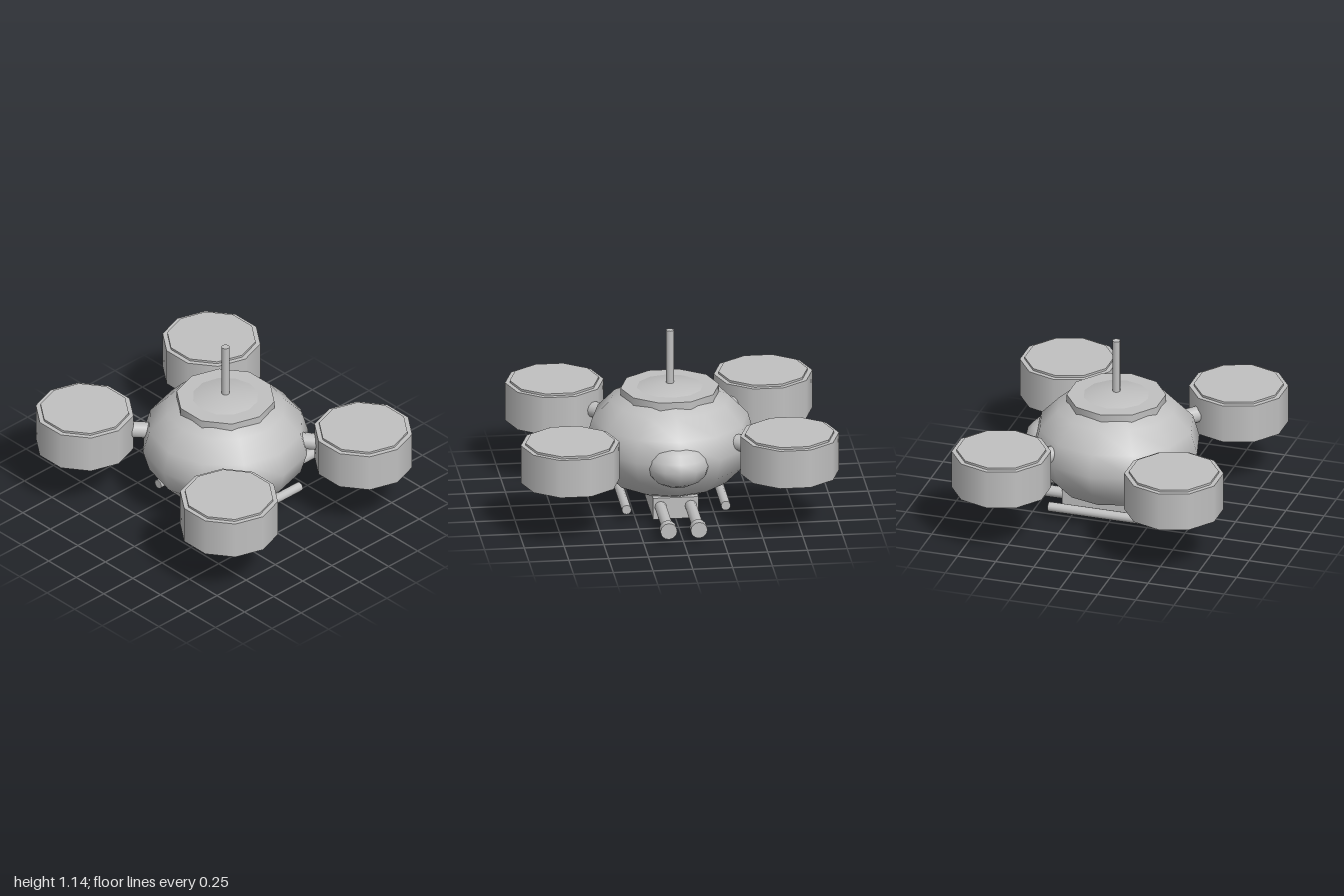
import * as THREE from 'three';

const CZ = -0.032; // z of the hull axis

export function createModel() {
  const model = new THREE.Group();
  const grey = new THREE.MeshStandardMaterial({ color: 0xc0c0c0 });
  grey.name = 'hull grey';

  const add = (name, geometry, x, y, z) => {
    const mesh = new THREE.Mesh(geometry, grey);
    mesh.name = name;
    mesh.position.set(x, y, z);
    model.add(mesh);
    return mesh;
  };
  // upright ten-sided drum with corners on the x axis
  const drum = (name, r, y0, y1, x, z) =>
    add(name, new THREE.CylinderGeometry(r, r, y1 - y0, 10).rotateY(Math.PI / 2), x, (y0 + y1) / 2, z);
  // rod lying along z
  const rod = (name, r, z0, z1, x, y) =>
    add(name, new THREE.CylinderGeometry(r, r, Math.abs(z1 - z0), 12).rotateX(Math.PI / 2), x, y, (z0 + z1) / 2);

  // hull, top collar and mast
  add('hull', new THREE.SphereGeometry(1, 12, 8).scale(0.53, 0.365, 0.53), 0, 0.432, CZ);
  drum('collar', 0.31, 0.69, 0.767, 0, CZ);
  add('mast', new THREE.CylinderGeometry(0.025, 0.025, 0.37, 12), 0, 0.957, CZ);

  // rounded bulge at the rear
  add('rearBulge', new THREE.SphereGeometry(1, 12, 8).scale(0.2, 0.14, 0.167), 0, 0.4, -0.458);

  // belly box
  add('bellyBox', new THREE.BoxGeometry(0.285, 0.14, 0.434), 0, 0.07, -0.125);

  for (const s of [-1, 1]) {
    // side rails and rear barrels
    rod('sideRail', 0.03, 0.253, -0.373, s * 0.312, 0.083);
    rod('barrel', 0.037, -0.25, -0.73, s * 0.095, 0.081);
    rod('barrelTip', 0.053, -0.722, -0.782, s * 0.095, 0.081);

    // rotor pods on their arms
    for (const [px, pz] of [[0.656, 0.558], [0.69, -0.563]]) {
      const x = s * px;
      drum('rotorPod', 0.31, 0.364, 0.613, x, pz);
      drum('rotorPodLid', 0.28, 0.6, 0.627, x, pz);

      const hub = new THREE.Vector3(0, 0.487, CZ);
      const dir = new THREE.Vector3(x, 0.487, pz).sub(hub);
      const mid = hub.clone().addScaledVector(dir, 0.58);
      const arm = add('rotorArm', new THREE.CylinderGeometry(0.052, 0.052, dir.length() * 0.24, 12), mid.x, mid.y, mid.z);
      arm.quaternion.setFromUnitVectors(new THREE.Vector3(0, 1, 0), dir.normalize());
    }
  }
  return model;
}
